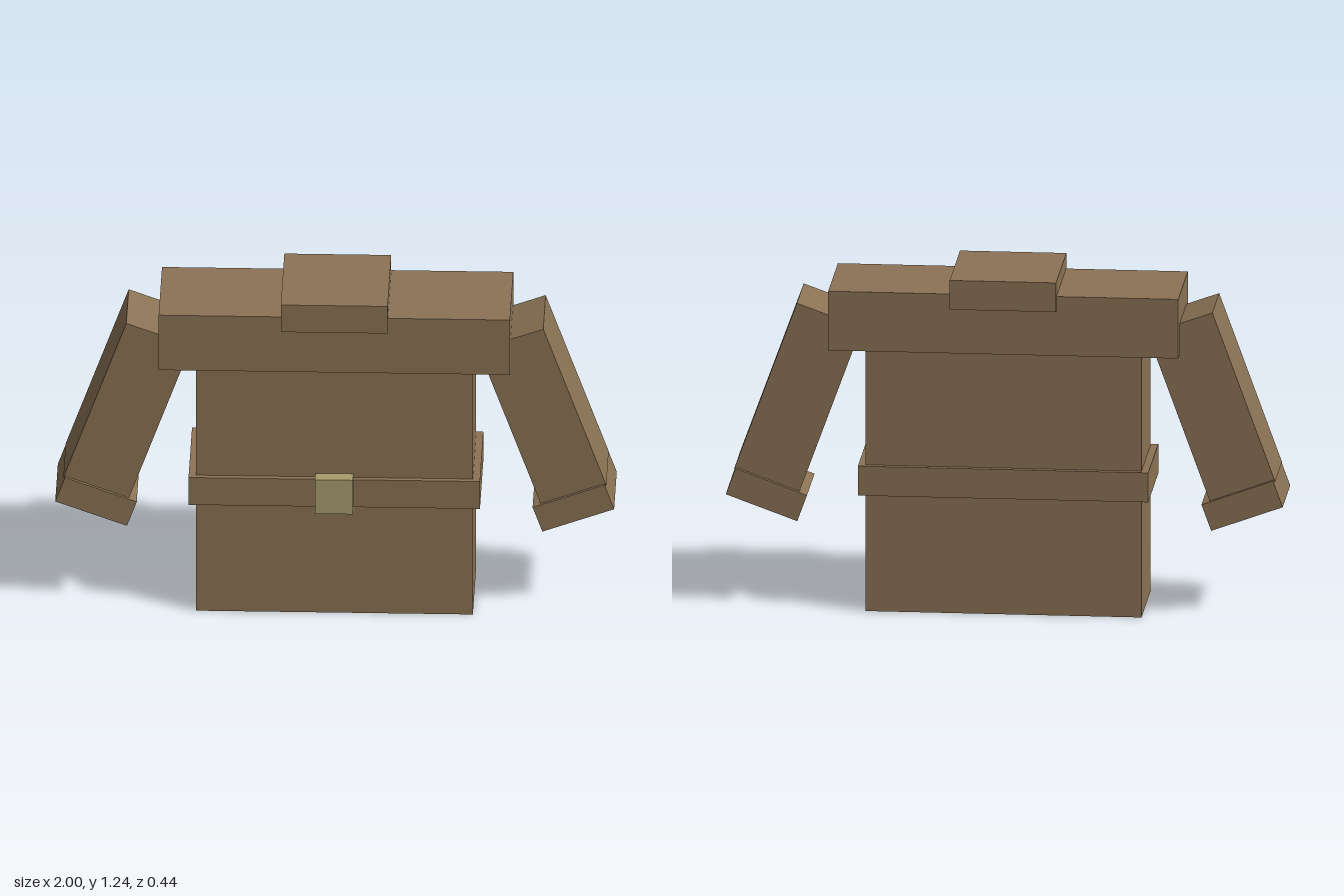
import * as THREE from 'three';

export function createModel() {
  const root = new THREE.Group();
  root.name = 'beltedTunic';

  const cloth = new THREE.MeshStandardMaterial({ color: 0x8b7355 });
  cloth.name = 'brown cloth';
  const brass = new THREE.MeshStandardMaterial({ color: 0xa99d6c });
  brass.name = 'dull brass';

  // Box given by its ranges along x, y and z
  function box(name, [x0, x1], [y0, y1], [z0, z1], material, parent) {
    const mesh = new THREE.Mesh(new THREE.BoxGeometry(x1 - x0, y1 - y0, z1 - z0), material);
    mesh.position.set((x0 + x1) / 2, (y0 + y1) / 2, (z0 + z1) / 2);
    mesh.name = name;
    parent.add(mesh);
    return mesh;
  }

  // Body
  box('torso', [-0.495, 0.495], [0, 1.07], [-0.191, 0.168], cloth, root);
  box('shoulderYoke', [-0.628, 0.628], [0.965, 1.184], [-0.205, 0.181], cloth, root);
  box('collar', [-0.191, 0.191], [1.13, 1.238], [-0.218, 0.194], cloth, root);

  // Belt and buckle
  box('belt', [-0.521, 0.521], [0.432, 0.541], [-0.211, 0.188], cloth, root);
  box('buckle', [-0.068, 0.068], [0.419, 0.555], [0.15, 0.22], brass, root);

  // Arms, laid out upright and then swung outward by 20 degrees
  for (const side of [1, -1]) {
    const arm = new THREE.Group();
    arm.name = side > 0 ? 'leftArm' : 'rightArm';
    arm.rotation.z = side * THREE.MathUtils.degToRad(20);
    const span = (a, b) => (side > 0 ? [a, b] : [-b, -a]);
    box('sleeve', span(0.837, 1.084), [0.14, 0.799], [-0.148, 0.125], cloth, arm);
    box('cuff', span(0.807, 1.08), [0.046, 0.148], [-0.164, 0.137], cloth, arm);
    root.add(arm);
  }

  return root;
}
